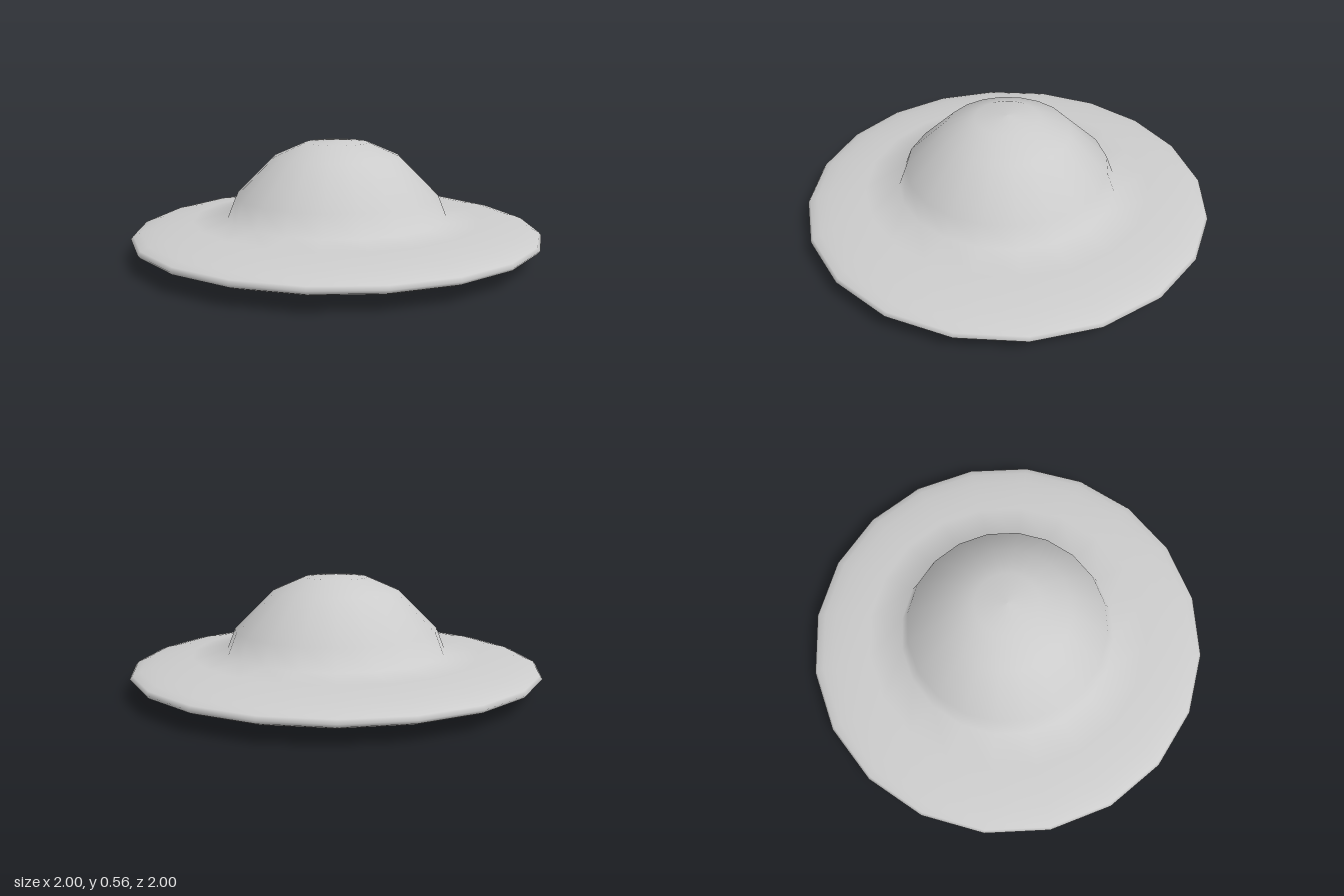
import * as THREE from 'three';

export function createModel() {
  const model = new THREE.Group();
  model.name = 'saucer';
  const material = new THREE.MeshStandardMaterial({ color: 0xcccccc });

  // Flattened ellipsoid hull, from the bottom pole round the rim to the dome's foot
  const profile = [];
  for (let i = 0; i <= 15; i++) {
    const a = (i * Math.PI) / 20;
    const r = i === 0 ? 0 : Math.sin(a);
    profile.push(new THREE.Vector2(r, 0.1 - 0.1 * Math.cos(a)));
  }

  // Dome drawn up out of the hull
  for (const [r, y] of [[0.54, 0.183], [0.5, 0.285], [0.309, 0.475], [0.156, 0.541], [0, 0.555]]) {
    profile.push(new THREE.Vector2(r, y));
  }

  const body = new THREE.Mesh(new THREE.LatheGeometry(profile, 20), material);
  body.name = 'hullAndDome';
  model.add(body);
  return model;
}
